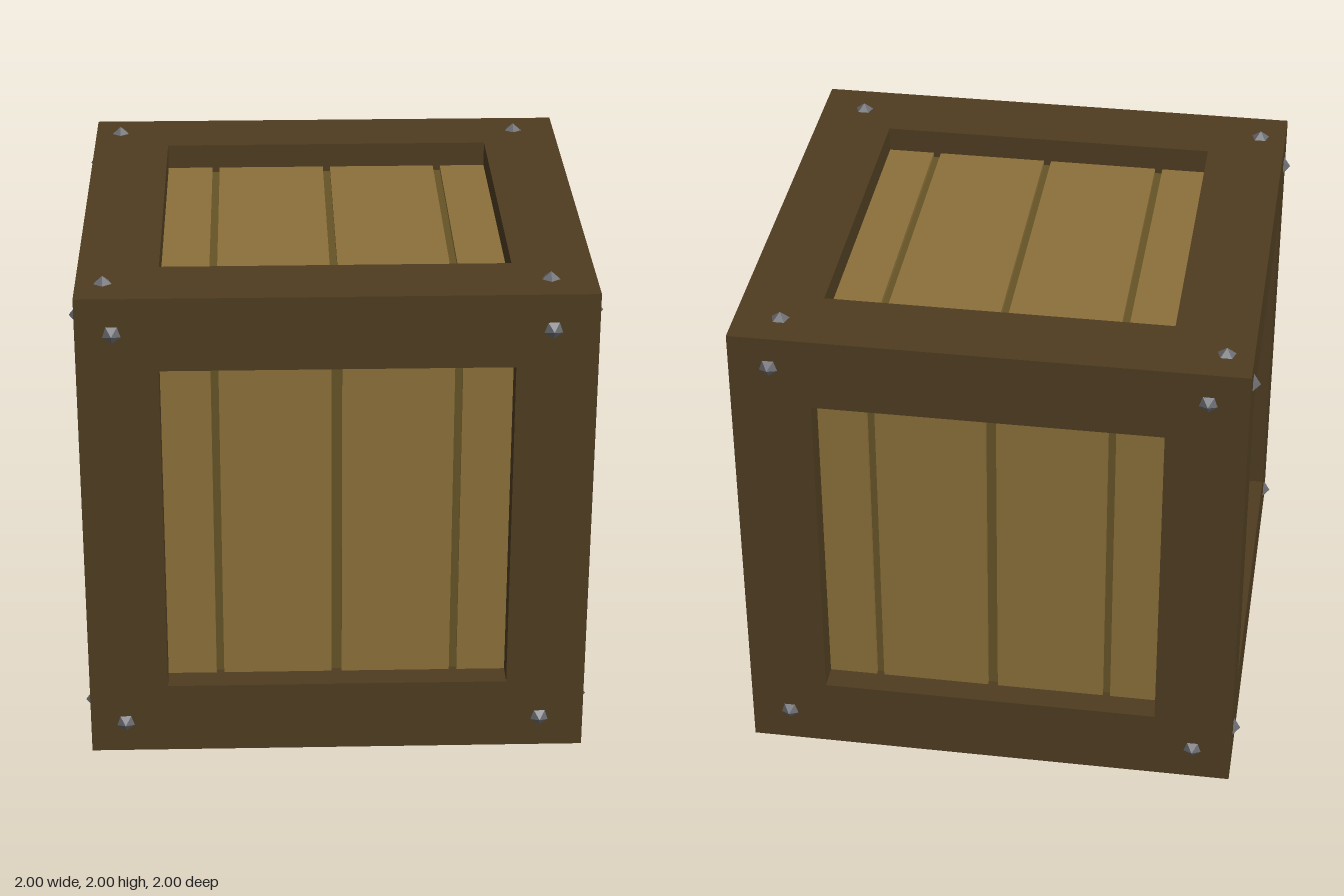
import * as THREE from 'three';

const HALF = 0.972;   // half size of the cube
const DEPTH = 0.1;    // recess of the planks behind the frame
const GROOVE = 0.02;  // depth of the gaps between planks

const mat = (color) => new THREE.MeshStandardMaterial({ color, flatShading: true });

// Square frame with a window; its rear outer edge is drawn in to form mitred corners
function frameGeometry(w, h) {
  const rect = (C, a, b) => new C([[-a, -b], [a, -b], [a, b], [-a, b]].map((p) => new THREE.Vector2(...p)));
  const shape = rect(THREE.Shape, HALF, HALF);
  shape.holes.push(rect(THREE.Path, w, h));
  const geo = new THREE.ExtrudeGeometry(shape, { depth: DEPTH + GROOVE, bevelEnabled: false });
  geo.translate(0, 0, HALF - DEPTH - GROOVE);
  const p = geo.attributes.position;
  for (let i = 0; i < p.count; i++) {
    const z = p.getZ(i);
    if (Math.abs(p.getX(i)) > 0.9) p.setXY(i, Math.sign(p.getX(i)) * z, Math.sign(p.getY(i)) * z);
  }
  geo.computeVertexNormals();
  return geo;
}

export function createModel() {
  const crate = new THREE.Group();
  crate.name = 'crate';
  const frameMat = mat(0x4e3c20), plankMat = mat(0x8b703a);
  const gapMat = mat(0x665427), boltMat = mat(0x6a6b70);

  // Low five-sided bolt head, pointing out along +z
  const boltGeo = new THREE.ConeGeometry(0.044, 0.034, 5).rotateX(Math.PI / 2);

  const add = (parent, name, geo, material, x = 0, y = 0, z = 0) => {
    const mesh = new THREE.Mesh(geo, material);
    mesh.name = name;
    mesh.position.set(x, y, z);
    parent.add(mesh);
  };

  // One face, built facing +z: frame, planks with gaps, corner bolts
  function makeFace({ name, rot, h, seam, gaps, us, vs }) {
    const face = new THREE.Group();
    face.name = name;
    const w = 0.665, plankZ = HALF - DEPTH;
    add(face, 'frame', frameGeometry(w, h), frameMat);
    add(face, 'plankBacking', new THREE.PlaneGeometry(2 * w, 2 * h), gapMat, 0, 0, plankZ - GROOVE);

    const [side, mid] = gaps;
    const edges = [
      [-w, -seam - side / 2], [-seam + side / 2, -mid / 2],
      [mid / 2, seam - side / 2], [seam + side / 2, w],
    ];
    for (const [a, b] of edges) {
      add(face, 'plank', new THREE.BoxGeometry(b - a, 2 * h, GROOVE), plankMat,
        (a + b) / 2, 0, plankZ - GROOVE / 2);
    }
    for (const u of us) for (const v of vs) add(face, 'bolt', boltGeo, boltMat, u, v, 1 - 0.017);
    face.rotation.set(...rot);
    face.position.y = 1;
    crate.add(face);
  }

  const Q = Math.PI / 2;
  const wide = { h: 0.68, seam: 0.46, gaps: [0.03, 0.04] };
  const flank = { h: 0.68, seam: 0.42, gaps: [0.03, 0.03] };
  const lid = { h: 0.665, seam: 0.465, gaps: [0.03, 0.03], us: [-0.87, 0.8] };
  const upper = [-0.83, 0.845];

  makeFace({ ...wide, name: 'frontFace', rot: [0, 0, 0], us: [-0.835, 0.8], vs: [-0.845, 0.83] });
  makeFace({ ...wide, name: 'backFace', rot: [0, 2 * Q, 0], us: [-0.82, 0.82], vs: upper });
  makeFace({ ...flank, name: 'leftFace', rot: [0, Q, 0], us: [-0.82, 0.82], vs: upper });
  makeFace({ ...flank, name: 'rightFace', rot: [0, -Q, 0], us: [-0.815, 0.815], vs: upper });
  makeFace({ ...lid, name: 'topFace', rot: [-Q, 0, 0], vs: [-0.815, 0.825] });
  makeFace({ ...lid, name: 'bottomFace', rot: [Q, 0, 0], vs: [-0.82, 0.82] });
  return crate;
}
